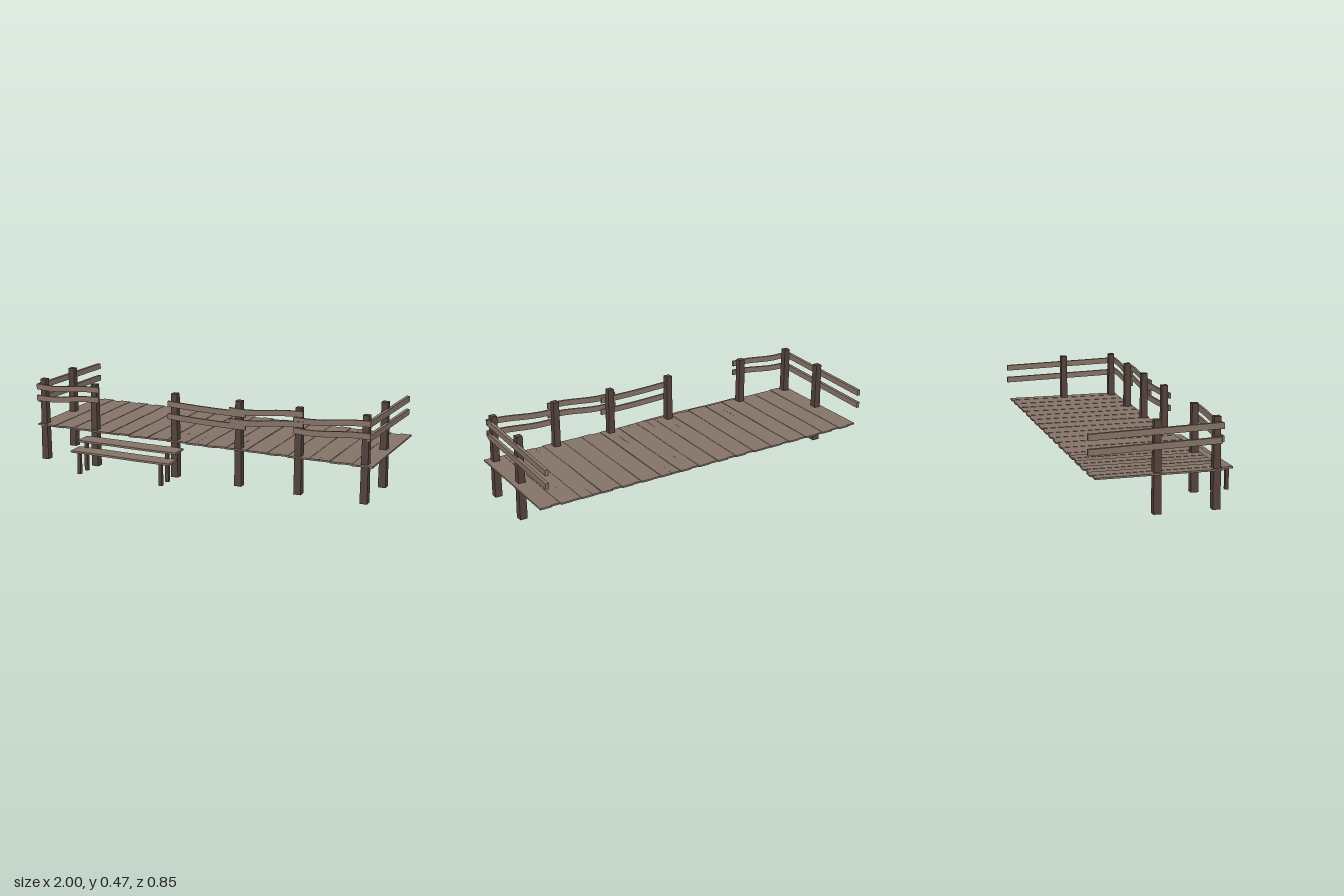
import * as THREE from 'three';

export function createModel() {
  const model = new THREE.Group();
  model.name = 'woodenDeck';
  const boardWood = new THREE.MeshStandardMaterial({ color: 0x857367 });
  boardWood.name = 'weathered board wood';
  const postWood = new THREE.MeshStandardMaterial({ color: 0x53423b });
  postWood.name = 'dark post wood';
  boardWood.flatShading = postWood.flatShading = true;

  // Small seeded generator for the hand-cut irregularity; returns -1..1
  let seed = 7;
  const jitter = () => {
    seed = (seed * 16807) % 2147483647;
    return (seed / 2147483647) * 2 - 1;
  };

  const add = (parent, name, geometry, material, x, y, z) => {
    const mesh = new THREE.Mesh(geometry, material);
    mesh.name = name;
    mesh.position.set(x, y, z);
    parent.add(mesh);
    return mesh;
  };
  const group = (name) => {
    const g = new THREE.Group();
    g.name = name;
    model.add(g);
    return g;
  };

  // Square post standing on the ground, slightly narrower at the top
  const post = (parent, name, x, z, height, width, taper) => {
    const geo = new THREE.BoxGeometry(width, height, width);
    const p = geo.attributes.position;
    for (let i = 0; i < p.count; i++) {
      if (p.getY(i) > 0) p.setXYZ(i, p.getX(i) * taper, p.getY(i), p.getZ(i) * taper);
    }
    add(parent, name, geo, postWood, x, height / 2, z);
  };

  // Deck boards: run front to back, alternate wide and narrow, rough edges
  const deck = group('deck');
  const count = 34;
  const pitch = 2 / count;
  for (let i = 0; i < count; i++) {
    const wide = i % 2 === 1;
    const width = pitch + (wide ? 0.004 : -0.004);
    const front = 0.261 + jitter() * 0.006;
    const back = wide ? -0.403 : -0.395 + jitter() * 0.004;
    const geo = new THREE.BoxGeometry(width, 0.009, front - back, 1, 1, 4);
    const p = geo.attributes.position;
    const bend = Array.from({ length: 10 }, () => jitter() * 0.0025);
    for (let k = 0; k < p.count; k++) {
      const row = Math.round((p.getZ(k) / (front - back) + 0.5) * 4);
      const side = p.getX(k) > 0 ? 5 : 0;
      p.setX(k, p.getX(k) + bend[row + side]);
    }
    const x = THREE.MathUtils.clamp(-1 + (i + 0.5) * pitch, -0.967, 0.967);
    add(deck, 'deckBoard', geo, boardWood, x, 0.2045 + (wide ? 0.0012 : -0.0005), (front + back) / 2);
  }

  // Fence posts: a front row and one more along each side
  const posts = group('fencePosts');
  for (const x of [-0.961, -0.634, -0.134, 0.244, 0.584, 0.948]) {
    post(posts, 'frontPost', x, 0.229, 0.468, 0.041, 0.83);
  }
  for (const x of [-0.961, 0.948]) post(posts, 'sidePost', x, -0.075, 0.468, 0.042, 0.83);

  // Front rails: pairs of gently S-curved boards between start and end heights
  const rails = group('railings');
  const frontRail = (x0, x1, y0, y1, z) => {
    const length = x1 - x0;
    const geo = new THREE.BoxGeometry(length, 0.031, 0.012, 8, 1, 1);
    const p = geo.attributes.position;
    for (let i = 0; i < p.count; i++) {
      const t = p.getX(i) / length + 0.5;
      const sway = -0.005 * Math.sin(t * Math.PI * 2) * Math.sign(y1 - y0);
      const sag = -0.004 * Math.sin(t * Math.PI);
      p.setY(i, p.getY(i) + THREE.MathUtils.lerp(y0, y1, t) + (y1 > y0 ? sway : 0) + sag);
    }
    add(rails, 'frontRail', geo, boardWood, (x0 + x1) / 2, 0, z);
  };
  const spans = [
    // start x, end x, upper start/end y, lower start/end y, z
    [-0.997, -0.595, 0.424, 0.441, 0.359, 0.386, 0.252],
    [-0.168, 0.289, 0.412, 0.401, 0.343, 0.332, 0.251],
    [0.197, 0.615, 0.417, 0.439, 0.358, 0.384, 0.2565],
    [0.558, 0.977, 0.404, 0.428, 0.348, 0.362, 0.251],
  ];
  for (const [x0, x1, u0, u1, l0, l1, z] of spans) {
    frontRail(x0, x1, u0, u1, z);
    frontRail(x0, x1, l0, l1, z);
  }

  // Side rails: straight boards dropping a little to the back
  for (const x of [-0.986, 0.966]) {
    for (const y of [0.4155, 0.342]) {
      const geo = new THREE.BoxGeometry(0.018, 0.032, 0.675);
      const p = geo.attributes.position;
      for (let i = 0; i < p.count; i++) p.setY(i, p.getY(i) + p.getZ(i) * 0.026);
      add(rails, 'sideRail', geo, boardWood, x, y, -0.0875);
    }
  }

  // Two steps: a tread on a pair of legs each
  const steps = group('steps');
  for (const [top, z, depth, legZ] of [[0.131, 0.378, 0.096, 0.409], [0.171, 0.3, 0.1, 0.332]]) {
    const geo = new THREE.BoxGeometry(0.603, 0.011, depth, 6, 1, 1);
    const p = geo.attributes.position;
    for (let i = 0; i < p.count; i++) {
      p.setZ(i, p.getZ(i) + 0.002 * Math.sin(p.getX(i) * 14));
    }
    add(steps, 'tread', geo, boardWood, -0.379, top - 0.0055, z);
    for (const x of [-0.636, -0.134]) post(steps, 'stepLeg', x, legZ, top - 0.01, 0.02, 0.9);
  }

  return model;
}
